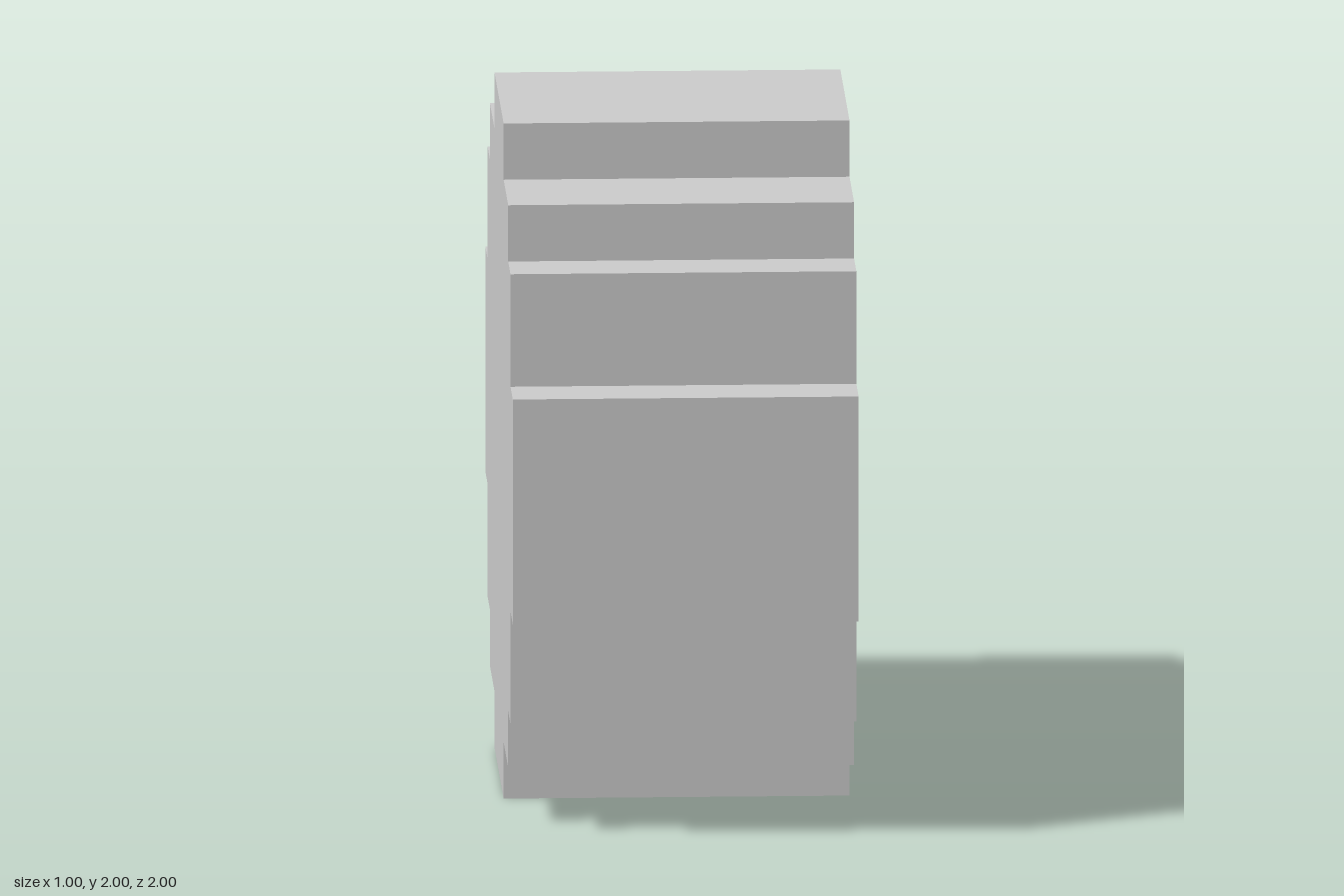
import * as THREE from 'three';

const STEP = 1 / 6; // size of one stair unit
const WIDTH = 1;

// One quarter of the stepped outline, in stair units
const QUARTER = [[6, 2], [5, 2], [5, 4], [4, 4], [4, 5], [2, 5], [2, 6]];

// Full outline: the quarter turned four times about the hub
function steppedOutline() {
  const points = [];
  for (let turn = 0; turn < 4; turn++) {
    for (const [a, b] of QUARTER) {
      let x = a, y = b;
      for (let i = 0; i < turn; i++) [x, y] = [-y, x];
      points.push(new THREE.Vector2(x * STEP, y * STEP));
    }
  }
  return new THREE.Shape(points);
}

export function createModel() {
  const group = new THREE.Group();
  group.name = 'blockyWheel';

  // Solid wheel, extruded across its width and turned so the axle runs along x
  const geometry = new THREE.ExtrudeGeometry(steppedOutline(), { depth: WIDTH, bevelEnabled: false });
  geometry.translate(0, 0, -WIDTH / 2);
  geometry.rotateY(Math.PI / 2);
  geometry.translate(0, 1, 0);

  const wheel = new THREE.Mesh(geometry, new THREE.MeshStandardMaterial({ color: 0xcccccc, flatShading: true }));
  wheel.name = 'wheel';
  group.add(wheel);
  return group;
}
